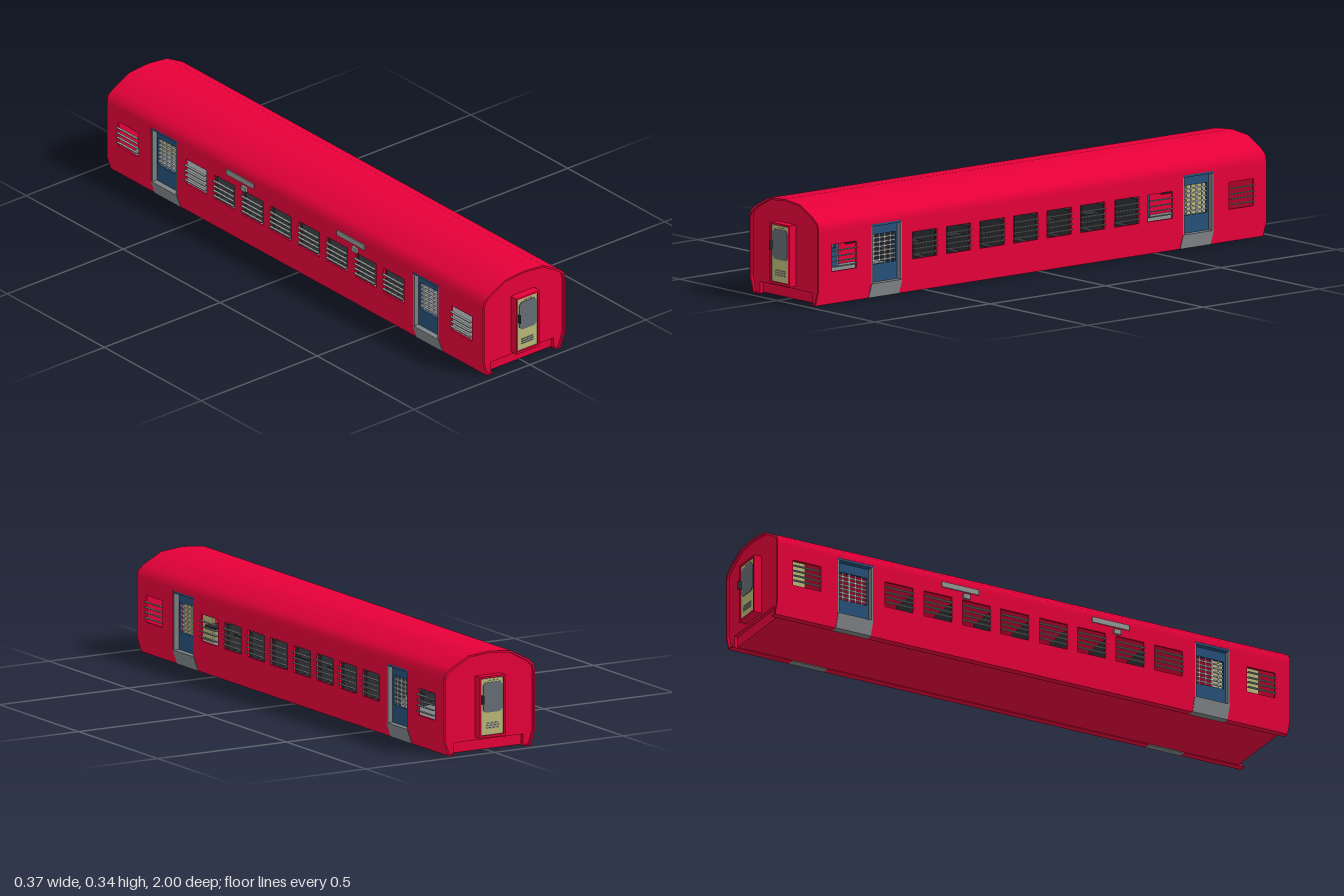
import * as THREE from 'three';
import { toCreasedNormals } from 'three/addons/utils/BufferGeometryUtils.js';

const mat = (name, color) => {
  const m = new THREE.MeshStandardMaterial({ color });
  m.name = name;
  return m;
};

export function createModel() {
  const red = mat('carriage red', 0xe60039);
  const blue = mat('door blue', 0x26517a);
  const grey = mat('metal grey', 0x7c8184);
  const pale = mat('pale grey', 0x959996);
  const mesh = mat('grille white', 0xd8dcdd);
  const khaki = mat('door khaki', 0xbab878);
  const glass = mat('slate glass', 0x656d75);
  const dark = mat('dark fittings', 0x2c2f33);

  const model = new THREE.Group();
  model.name = 'railwayCarriage';

  const add = (parent, name, geometry, material) => {
    const part = new THREE.Mesh(geometry, material);
    part.name = name;
    parent.add(part);
    return part;
  };
  // Box given by its minimum and maximum corners
  const box = (parent, name, material, x0, x1, y0, y1, z0, z1) => {
    const g = new THREE.BoxGeometry(x1 - x0, y1 - y0, z1 - z0);
    g.translate((x0 + x1) / 2, (y0 + y1) / 2, (z0 + z1) / 2);
    return add(parent, name, g, material);
  };
  const polygon = (pts) => new THREE.Shape(pts.map((p) => new THREE.Vector2(...p)));
  const rect = (cx, hw, y0, y1) => [[cx - hw, y0], [cx + hw, y0], [cx + hw, y1], [cx - hw, y1]];
  // Cross-section in x and y, swept from z0 to z1
  const sweep = (shape, z0, z1) => {
    const g = new THREE.ExtrudeGeometry(shape, { depth: z1 - z0, bevelEnabled: false });
    return g.translate(0, 0, z0);
  };
  // Upright plate in z and y, from x0 to x1
  const sidePlate = (shape, x0, x1) => sweep(shape, x0, x1).rotateY(Math.PI / 2);
  // Shade the sloping outer face as a smooth continuation of the wall
  const blendToWall = (g) => {
    const n = g.attributes.normal;
    for (let i = 0; i < n.count; i++) if (n.getX(i) > 0.5) n.setXYZ(i, 1, 0, 0);
    return g;
  };

  const HALF = 0.97;
  const DOOR_Z = 0.675, DOOR_HW = 0.066;
  const windows = [-0.86, -0.51, -0.364, -0.218, -0.073, 0.073, 0.218, 0.364, 0.51, 0.86];
  const barHeights = [0.128, 0.146, 0.163, 0.182];

  // Roof shell
  const half = [[0.177, 0.251], [0.177, 0.256], [0.172, 0.277], [0.15, 0.295], [0.083, 0.33]];
  const mirror = (pts) => pts.map(([x, y]) => [-x, y]).reverse();
  const outer = [...half, [0, 0.338], ...mirror(half)];
  const inner = outer.map(([x, y]) => [x * 0.965, Math.max(0.251, y - 0.006)]).reverse();
  add(model, 'roof', toCreasedNormals(sweep(polygon([...outer, ...inner]), -HALF, HALF), 0.7), red);

  // Floor and interior
  box(model, 'floor', red, -0.153, 0.153, 0.003, 0.046, -0.948, 0.948);
  box(model, 'floorCovering', grey, -0.168, 0.168, 0.046, 0.05, -0.946, 0.946);
  for (const s of [-1, 1]) {
    box(model, 'compartmentWall', khaki, -0.004, 0.004, 0.05, 0.29,
      s > 0 ? 0.77 : -0.946, s > 0 ? 0.946 : -0.77);
    for (const z of [-0.437, -0.291, -0.145, 0, 0.145, 0.291, 0.437]) {
      const x0 = s > 0 ? 0.045 : -0.155;
      box(model, 'seatBack', dark, x0, x0 + 0.11, 0.05, 0.19, z - 0.012, z + 0.012);
      box(model, 'seatBench', dark, x0, x0 + 0.11, 0.07, 0.1, z - 0.045, z + 0.045);
    }
  }
  for (const z of [0.535, 0.35, -0.05, -0.24]) {
    box(model, 'table', dark, 0.1, 0.16, 0.158, 0.164, z - 0.033, z + 0.033);
  }

  // One long side, facing +x
  const buildSide = () => {
    const side = new THREE.Group();
    const outline = [[-HALF, 0.05]];
    for (const z of [-DOOR_Z, DOOR_Z]) {
      outline.push([z - DOOR_HW, 0.05], [z - DOOR_HW, 0.25], [z + DOOR_HW, 0.25], [z + DOOR_HW, 0.05]);
    }
    outline.push([HALF, 0.05], [HALF, 0.251], [-HALF, 0.251]);
    const wall = polygon(outline);
    for (const z of windows) wall.holes.push(polygon(rect(z, 0.053, 0.112, 0.203)));
    add(side, 'sideWall', sidePlate(wall, 0.17, 0.177), red);

    // Tapered skirt between the doors
    const skirt = polygon([[0.135, 0], [0.16, 0], [0.177, 0.05], [0.17, 0.05], [0.155, 0.004], [0.135, 0.004]]);
    const cuts = [-HALF, -DOOR_Z - DOOR_HW, -DOOR_Z + DOOR_HW, DOOR_Z - DOOR_HW, DOOR_Z + DOOR_HW, HALF];
    for (let i = 0; i < 6; i += 2) {
      add(side, 'skirt', blendToWall(sweep(skirt, cuts[i], cuts[i + 1])), red);
    }

    // Window guard bars
    for (const z of windows) {
      for (const y of barHeights) {
        box(side, 'windowBar', pale, 0.176, 0.185, y - 0.0015, y + 0.0015, z - 0.053, z + 0.053);
      }
    }

    // Recessed doors with steps and grilles
    for (const z of [-DOOR_Z, DOOR_Z]) {
      const leaf = polygon(rect(z, DOOR_HW, 0.05, 0.25));
      leaf.holes.push(polygon(rect(z, 0.053, 0.11, 0.21)));
      add(side, 'door', sidePlate(leaf, 0.148, 0.158), blue);
      const step = polygon([[0.135, 0], [0.162, 0], [0.179, 0.05], [0.145, 0.05]]);
      add(side, 'doorStep', blendToWall(sweep(step, z - DOOR_HW, z + DOOR_HW)), grey);
      box(side, 'doorLintel', blue, 0.148, 0.176, 0.242, 0.25, z - DOOR_HW, z + DOOR_HW);
      for (const s of [-1, 1]) {
        const c = z + s * (DOOR_HW - 0.003);
        box(side, 'doorJamb', grey, 0.148, 0.1765, 0.05, 0.242, c - 0.003, c + 0.003);
      }
      for (let i = 0; i < 6; i++) {
        const y = 0.122 + i * 0.015;
        box(side, 'doorGrilleBar', mesh, 0.15, 0.156, y - 0.002, y + 0.002, z - 0.053, z + 0.053);
      }
      for (const dz of [-0.036, -0.012, 0.012, 0.036]) {
        box(side, 'doorGrilleUpright', mesh, 0.151, 0.155, 0.11, 0.21, z + dz - 0.002, z + dz + 0.002);
      }
    }
    return side;
  };

  // One end wall with its gangway, facing +z
  const buildEnd = () => {
    const end = new THREE.Group();
    const lower = [[0.135, 0.04], [0.135, 0.002], [0.156, 0.002], [0.173, 0.05], [0.173, 0.256]];
    const upper = [[0.168, 0.274], [0.147, 0.292], [0.082, 0.327]];
    const right = [...lower, ...upper];
    add(end, 'endWall', sweep(polygon([...right, [0, 0.335], ...mirror(right)]), 0.946, 0.961), red);

    const frame = polygon(rect(0, 0.05, 0.05, 0.257));
    frame.holes.push(polygon(rect(0, 0.044, 0.058, 0.251)));
    add(end, 'gangwayFrame', sweep(frame, 0.95, 0.99), red);
    box(end, 'doorSeal', grey, -0.044, 0.044, 0.058, 0.251, 0.955, 0.984);
    box(end, 'gangwayDoor', khaki, -0.042, 0.042, 0.06, 0.249, 0.98, 0.987);

    // Door window with clipped corners
    const pane = polygon([[-0.027, 0.135], [0.029, 0.135], [0.038, 0.145], [0.038, 0.227],
      [0.029, 0.237], [-0.027, 0.237], [-0.036, 0.227], [-0.036, 0.145]]);
    add(end, 'doorWindow', sweep(pane, 0.985, 0.989), glass);
    for (const y of [0.082, 0.09, 0.098]) {
      box(end, 'doorVent', grey, -0.025, 0.025, y - 0.002, y + 0.002, 0.985, 0.989);
    }
    box(end, 'doorHandle', dark, -0.043, -0.038, 0.166, 0.195, 0.985, 1);
    box(end, 'doorTopTrim', grey, -0.012, 0.022, 0.241, 0.243, 0.985, 0.988);
    return end;
  };

  for (const [i, label] of ['left', 'right'].entries()) {
    const side = buildSide();
    side.name = label + 'Side';
    side.rotation.y = i * Math.PI;
    const end = buildEnd();
    end.name = i ? 'backEnd' : 'frontEnd';
    end.rotation.y = i * Math.PI;
    model.add(side, end);
  }

  // Blank destination boards and their brackets on the right side
  for (const z of [-0.28, 0.29]) {
    box(model, 'sideBoard', pale, -0.181, -0.176, 0.232, 0.251, z - 0.07, z + 0.07);
    box(model, 'boardBracket', pale, -0.186, -0.176, 0.207, 0.224, z + 0.01, z + 0.035);
  }
  return model;
}
